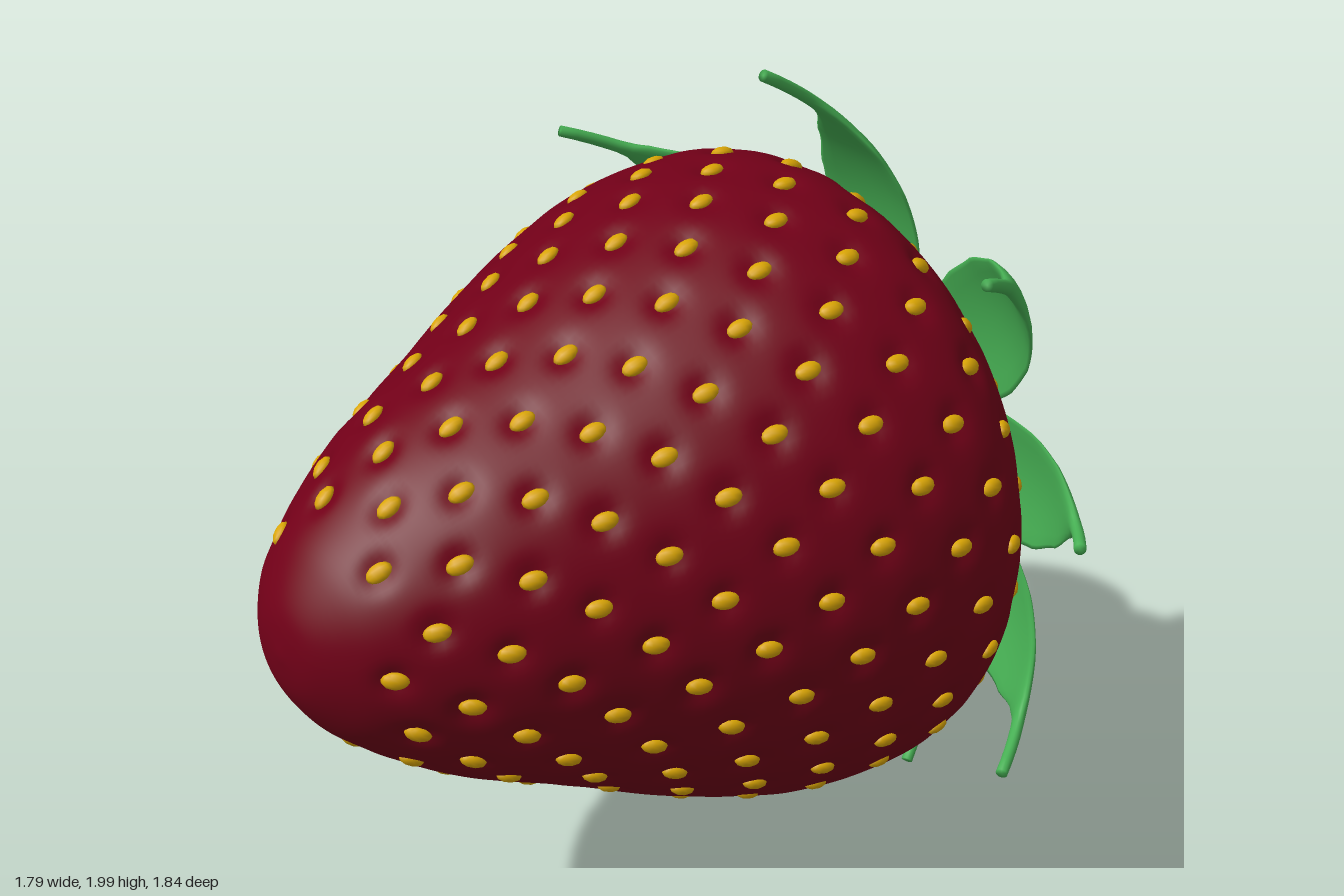
import * as THREE from 'three';
import { mergeGeometries, mergeVertices } from 'three/addons/utils/BufferGeometryUtils.js';

const V = (x, y, z) => new THREE.Vector3(x, y, z);

// Berry profile: radius and height along the fruit's own axis, pointed end first
const profile = new THREE.SplineCurve([
  [0, -1.145], [0.1, -1.127], [0.2, -1.068], [0.268, -1], [0.337, -0.91], [0.42, -0.78],
  [0.53, -0.55], [0.655, -0.3], [0.75, -0.05], [0.78, 0.15], [0.77, 0.28], [0.715, 0.38],
  [0.6, 0.48], [0.44, 0.55], [0.22, 0.59], [0, 0.6],
].map(([r, s]) => new THREE.Vector2(r, s)));

// Seed frames, spread by the golden angle with even density over the skin
function seedFrames() {
  const pts = profile.getSpacedPoints(400);
  const area = [0];
  const from = -1.03, to = 0.5;
  for (let i = 1; i < pts.length; i++) {
    const used = pts[i].y > from && pts[i].y < to;
    area.push(area[i - 1] + (used ? pts[i].x + 0.12 : 0));
  }
  const count = 240, total = area[area.length - 1], frames = [];
  for (let k = 0; k < count; k++) {
    const i = Math.max(1, area.findIndex((a) => a >= ((k + 0.5) / count) * total));
    const a = k * Math.PI * (3 - Math.sqrt(5));
    const p = pts[i], d = pts[i].clone().sub(pts[i - 1]).normalize();
    const c = Math.cos(a), s = Math.sin(a);
    const along = V(d.x * c, d.y, d.x * s);
    const out = V(d.y * c, -d.x, d.y * s);
    frames.push({ pos: V(p.x * c, p.y, p.x * s), along, out, side: out.clone().cross(along) });
  }
  return frames;
}

// Berry skin with a shallow dimple under each seed
function berryGeometry(frames) {
  const pts = profile.getSpacedPoints(150).map((p) => new THREE.Vector2(Math.max(0, p.x), p.y));
  let g = new THREE.LatheGeometry(pts, 180);
  g.deleteAttribute('uv');
  g.deleteAttribute('normal');
  g = mergeVertices(g, 1e-4);
  const pos = g.attributes.position, v = V(0, 0, 0);
  for (let i = 0; i < pos.count; i++) {
    v.fromBufferAttribute(pos, i);
    for (const f of frames) {
      const d2 = v.distanceToSquared(f.pos);
      if (d2 < 0.01) v.addScaledVector(f.out, -0.017 * Math.exp(-d2 / 0.0013));
    }
    pos.setXYZ(i, v.x, v.y, v.z);
  }
  g.computeVertexNormals();
  return g;
}

function seedGeometry({ pos, along, side, out }) {
  const g = new THREE.SphereGeometry(1, 10, 7).scale(0.031, 0.02, 0.015);
  const m = new THREE.Matrix4().makeBasis(along, side, out);
  return g.applyMatrix4(m.setPosition(pos.clone().addScaledVector(out, -0.009)));
}

// Half width of a sepal from base to the end of its thin tail
const widthKeys = [[0, 0.03], [0.1, 0.062], [0.2, 0.105], [0.35, 0.145], [0.52, 0.162], [0.66, 0.148],
  [0.77, 0.108], [0.85, 0.05], [0.9, 0.018], [1, 0.014]];
function halfWidth(t) {
  let i = 1;
  while (i < widthKeys.length - 1 && widthKeys[i][0] < t) i++;
  const [t0, w0] = widthKeys[i - 1], [t1, w1] = widthKeys[i];
  return w0 + (w1 - w0) * (0.4 * THREE.MathUtils.smoothstep(t, t0, t1) + 0.6 * (t - t0) / (t1 - t0));
}

// Sepal lofted from lens-shaped sections along an arching midrib
function sepalGeometry(tip) {
  const R = Math.hypot(tip.x, tip.z), dir = V(tip.x / R, 0, tip.z / R);
  const up = V(0, 1, 0), side = up.clone().cross(dir);
  const rings = 44, seg = 16, top = 0.638, base = 0.08, power = 4.3, verts = [], index = [];
  for (let i = 0; i <= rings + 2; i++) {
    const end = i === 0 || i === rings + 2; // collapsed rings close both ends
    const t = THREE.MathUtils.clamp((i - 1) / rings, 0, 1);
    const rho = base + (R - base) * t, q = rho / R;
    const slope = Math.atan(-power * (top - tip.y) * q ** (power - 1) / R);
    const n = dir.clone().multiplyScalar(-Math.sin(slope)).addScaledVector(up, Math.cos(slope));
    const c = dir.clone().multiplyScalar(rho);
    c.y = top - (top - tip.y) * q ** power;
    const w = end ? 0 : halfWidth(t), thick = end ? 0 : 0.014;
    for (let j = 0; j < seg; j++) {
      const a = (j / seg) * Math.PI * 2, cos = Math.cos(a);
      const p = c.clone().addScaledVector(side, w * cos)
        .addScaledVector(n, thick * Math.sin(a) - 1.4 * w * w * cos * cos);
      verts.push(p.x, p.y, p.z);
      if (i < rings + 2) {
        const A = i * seg + j, B = i * seg + ((j + 1) % seg);
        index.push(A, B, A + seg, B, B + seg, A + seg);
      }
    }
  }
  const g = new THREE.BufferGeometry();
  g.setAttribute('position', new THREE.Float32BufferAttribute(verts, 3));
  g.setIndex(index);
  g.computeVertexNormals();
  return g;
}

export function createModel() {
  const skin = new THREE.MeshStandardMaterial({ color: 0x700017 });
  skin.name = 'berry red';
  const gold = new THREE.MeshStandardMaterial({ color: 0xd9a504 });
  gold.name = 'seed gold';
  const green = new THREE.MeshStandardMaterial({ color: 0x46af53 });
  green.name = 'leaf green';

  const model = new THREE.Group();
  model.name = 'strawberry';
  const fruit = new THREE.Group();
  fruit.name = 'fruit';
  model.add(fruit);
  const add = (parent, name, geo, mat) => {
    const m = new THREE.Mesh(geo, mat);
    m.name = name;
    parent.add(m);
    return m;
  };

  // Seeded flesh, leaning slightly against the leaf crown
  const flesh = new THREE.Group();
  flesh.name = 'flesh';
  flesh.rotation.z = 0.028;
  flesh.position.x = -0.008;
  fruit.add(flesh);
  const frames = seedFrames();
  add(flesh, 'berry', berryGeometry(frames), skin);
  add(flesh, 'seeds', mergeGeometries(frames.map(seedGeometry)), gold);

  // Nine sepals, given by tail ends: sideways, along the axis, upwards
  const cx = -0.04;
  [
    [0.031, 0.184, 1.0], [0.705, 0.229, 0.7], [0.862, 0.41, 0.07], [0.819, 0.25, -0.48], [0.333, 0.43, -0.77],
    [-0.252, 0.17, -0.965], [-0.758, 0.372, -0.46], [-0.908, 0.344, 0.07], [-0.76, 0.195, 0.66],
  ].forEach(([x, y, z], i) => {
    add(fruit, 'sepal' + (i + 1), sepalGeometry(V(x - cx, y, z)), green).position.x = cx;
  });

  // Curved stem with a closed cut end
  const path = new THREE.CatmullRomCurve3([
    V(cx, 0.5, 0), V(cx, 0.64, -0.02), V(cx - 0.005, 0.745, 0.02), V(cx - 0.01, 0.825, 0.12),
  ]);
  add(fruit, 'stem', new THREE.TubeGeometry(path, 20, 0.03, 14), green);
  const cut = add(fruit, 'stemEnd', new THREE.CircleGeometry(0.03, 14), green);
  cut.position.copy(path.getPoint(1));
  cut.quaternion.setFromUnitVectors(V(0, 0, 1), path.getTangent(1));

  // Lay the fruit on its side, stem towards the back left
  const yaw = Math.atan2(0.74, 0.67), c = Math.cos(yaw), s = Math.sin(yaw);
  fruit.quaternion.setFromRotationMatrix(new THREE.Matrix4().makeBasis(V(s, 0, c), V(c, 0, -s), V(0, 1, 0)));
  fruit.position.set(-0.037, 0.98, -0.034);
  return model;
}
